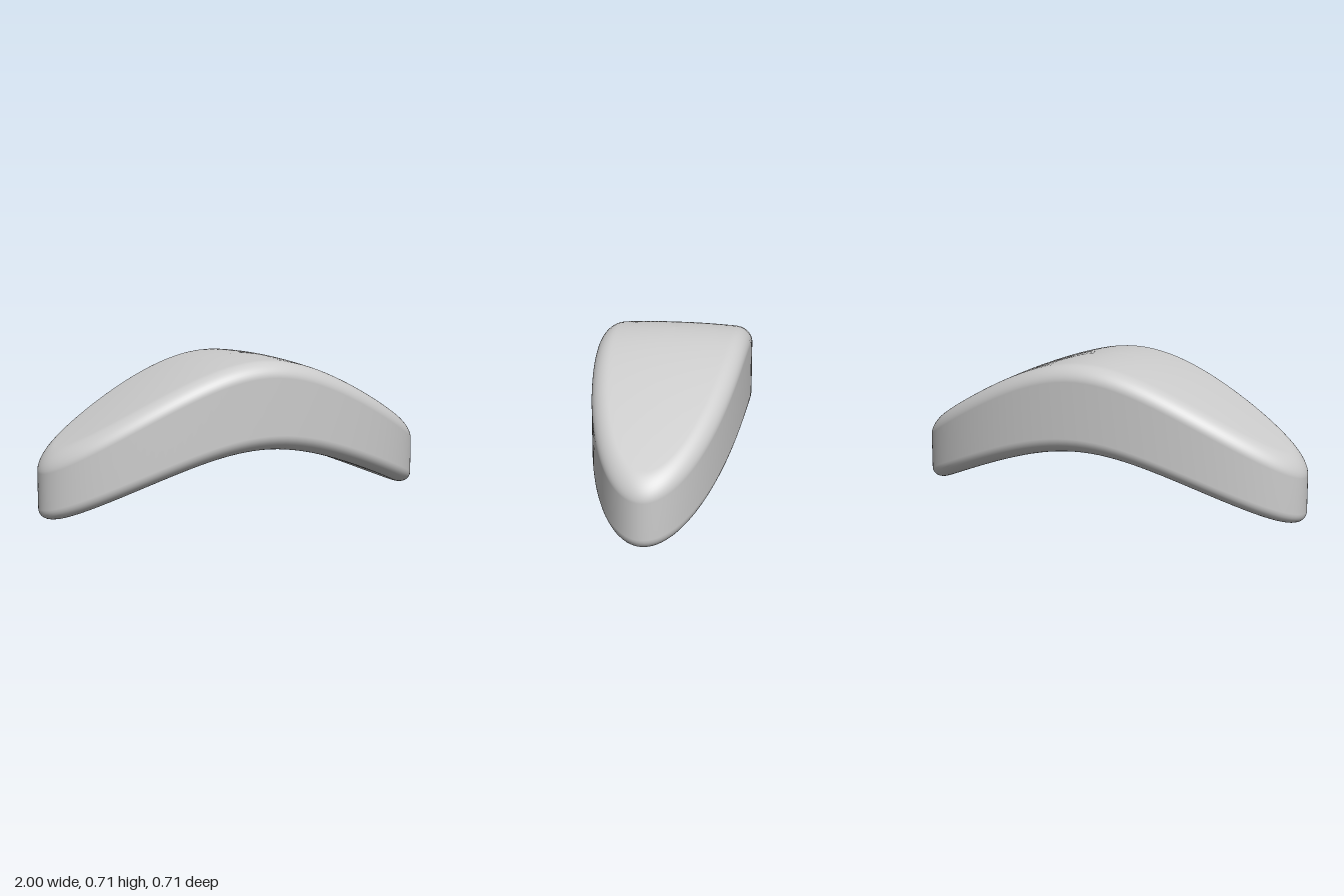
import * as THREE from 'three';

const HALF_X = 1, HALF_Z = 0.355; // plan ellipse
const SEGMENTS = 128;

// Arched profiles of the upper and lower faces along x
const arch = (peak, slope, x) => peak - slope * (Math.hypot(x, 0.45) - 0.45);
const topY = (x, z) => arch(0.71, 0.665, x) - 0.015 * (z / HALF_Z) ** 2;
const bottomY = (x) => arch(0.278, 0.485, x);

// Rings of one face from the centre to the rim: plan half-axes and rounded-edge drop
function faceRings(radius, drop) {
  const rings = [];
  for (let i = 0; i < 16; i++) {
    const s = i / 16;
    rings.push({ a: (HALF_X - radius) * s, b: (HALF_Z - radius) * s, fall: 0 });
  }
  for (let i = 0; i <= 10; i++) {
    const t = (i / 10) * Math.PI / 2;
    const inset = radius * (1 - Math.sin(t));
    rings.push({ a: HALF_X - inset, b: HALF_Z - inset, fall: drop * (1 - Math.cos(t)) });
  }
  return rings;
}

function archedPlateGeometry() {
  // Upper face outward, then down the wall and lower face inward
  const upper = faceRings(0.08, 0.07).map(r => ({ ...r, y: (x, z) => topY(x, z) - r.fall }));
  const lower = faceRings(0.1, 0.078).map(r => ({ ...r, y: (x) => bottomY(x) + r.fall }));
  const rings = [...upper, ...lower.reverse()];
  const positions = [], index = [];
  rings.forEach((r, i) => {
    for (let j = 0; j < SEGMENTS; j++) {
      const t = (j / SEGMENTS) * Math.PI * 2;
      const x = r.a * Math.cos(t), z = r.b * Math.sin(t);
      positions.push(x, r.y(x, z), z);
      if (i === rings.length - 1) continue;
      const k = (j + 1) % SEGMENTS;
      const a = i * SEGMENTS + j, b = i * SEGMENTS + k;
      const c = a + SEGMENTS, d = b + SEGMENTS;
      if (i < rings.length - 2) index.push(a, d, c);
      else index.push(a, b, c);
      if (i > 0 && i < rings.length - 2) index.push(a, b, d);
    }
  });
  const geometry = new THREE.BufferGeometry();
  geometry.setAttribute('position', new THREE.Float32BufferAttribute(positions, 3));
  geometry.setIndex(index);
  geometry.computeBoundingBox();
  geometry.translate(0, -geometry.boundingBox.min.y, 0); // stand on the ground
  geometry.computeVertexNormals();
  return geometry;
}

export function createModel() {
  const group = new THREE.Group();
  group.name = 'archedEllipse';
  const material = new THREE.MeshStandardMaterial({ color: 0xcccccc });
  const body = new THREE.Mesh(archedPlateGeometry(), material);
  body.name = 'archedBody';
  group.add(body);
  return group;
}
